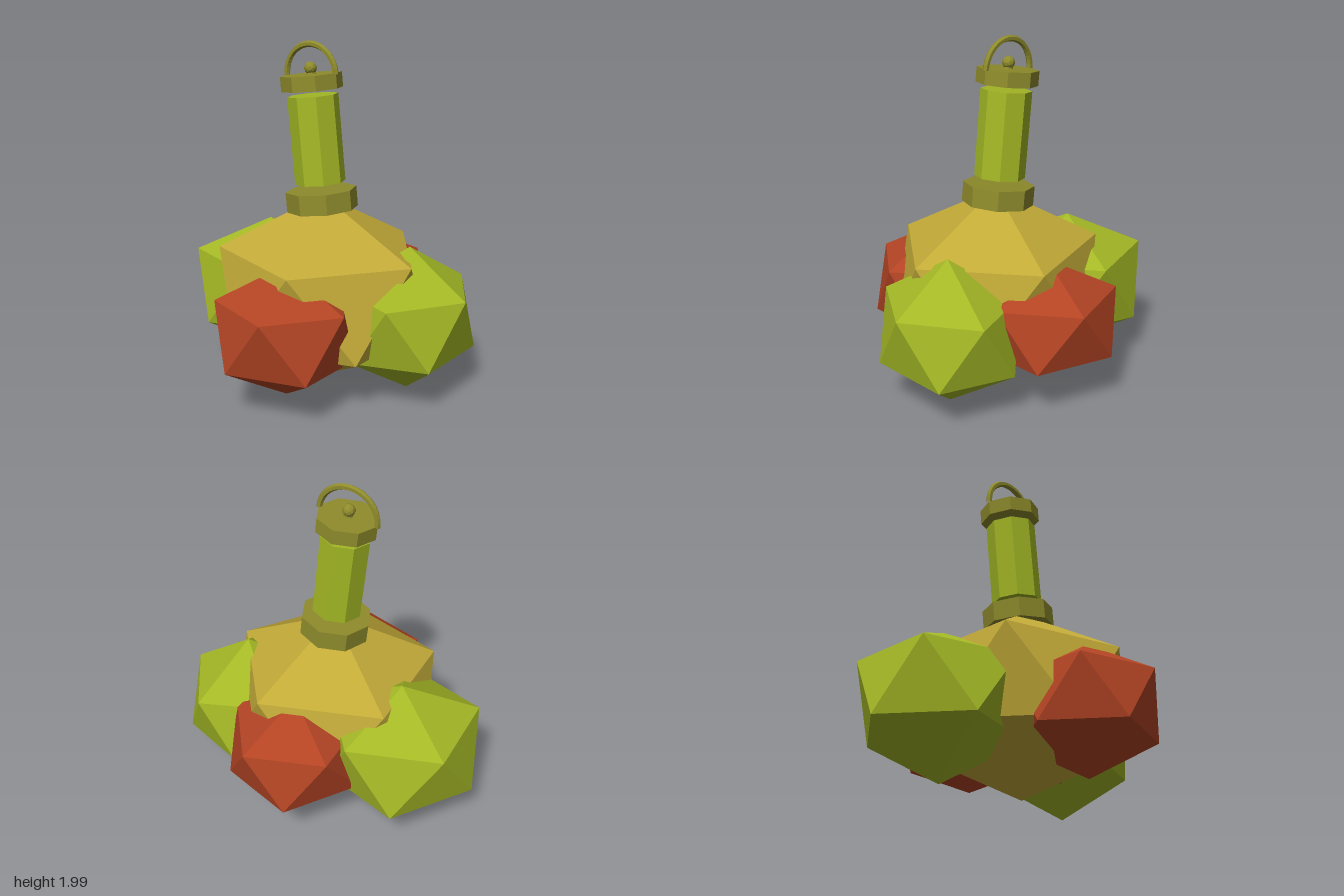
import * as THREE from 'three';
import { ConvexGeometry } from 'three/addons/geometries/ConvexGeometry.js';

const paint = (name, color) => {
  const m = new THREE.MeshStandardMaterial({ color });
  m.name = name;
  return m;
};

// Faceted normals
function facet(geometry) {
  const g = geometry.index ? geometry.toNonIndexed() : geometry;
  g.computeVertexNormals();
  return g;
}

// Twenty-sided lump with a vertex up: two staggered rings of five plus two tips
function lump([cx, cz], [rx, rz], [bottom, lower, upper, top]) {
  const pts = [new THREE.Vector3(cx, bottom, cz), new THREE.Vector3(cx, top, cz)];
  for (let i = 0; i < 5; i++) {
    const a = (i * Math.PI * 2) / 5, b = a + Math.PI / 5;
    pts.push(new THREE.Vector3(cx + rx * Math.cos(a), upper, cz + rz * Math.sin(a)));
    pts.push(new THREE.Vector3(cx + rx * Math.cos(b), lower, cz + rz * Math.sin(b)));
  }
  return new ConvexGeometry(pts);
}

export function createModel() {
  const green = paint('leaf green', 0xa4b825);
  const gold = paint('gold', 0xc2aa38);
  const red = paint('brick red', 0xb34424);
  const olive = paint('olive', 0x8f8c2c);

  const model = new THREE.Group();
  model.name = 'lumpyFlask';
  const add = (parent, name, geometry, material, x = 0, y = 0, z = 0) => {
    const mesh = new THREE.Mesh(geometry, material);
    mesh.name = name;
    mesh.position.set(x, y, z);
    parent.add(mesh);
    return mesh;
  };

  // Body and the four lumps around it
  add(model, 'body', lump([0.045, 0.01], [0.612, 0.593], [0.01, 0.32, 0.81, 1.13]), gold);
  add(model, 'leftLump', lump([0.55, -0.135], [0.37, 0.42], [0.02, 0.275, 0.63, 0.88]), green);
  add(model, 'rightLump', lump([-0.455, -0.11], [0.467, 0.45], [0.02, 0.28, 0.67, 0.88]), green);
  add(model, 'frontLump', lump([0.11, 0.43], [0.4, 0.39], [0.06, 0.28, 0.62, 0.83]), red);
  add(model, 'backLump', lump([0.065, -0.42], [0.4, 0.4], [0.14, 0.31, 0.63, 0.82]), red);

  // Small stud under the body
  add(model, 'bottomStud', facet(new THREE.IcosahedronGeometry(0.022, 1)), olive, 0.3, 0.168, 0.06);

  // Leaning handle, built along its own axis
  const handle = new THREE.Group();
  handle.name = 'handle';
  handle.position.set(0.03, 1.1, 0);
  handle.rotation.z = 0.11;
  model.add(handle);
  const octagon = (r, h) => facet(new THREE.CylinderGeometry(r, r, h, 8));
  add(handle, 'neckCollar', octagon(0.206, 0.115), olive);
  add(handle, 'grip', octagon(0.146, 0.5), green, 0, 0.35);
  add(handle, 'cap', octagon(0.176, 0.085), olive, 0, 0.675);

  // Knob on the cap
  add(handle, 'knobStem', facet(new THREE.CylinderGeometry(0.022, 0.03, 0.03, 8)), olive, 0, 0.727);
  add(handle, 'knob', facet(new THREE.IcosahedronGeometry(0.037, 1)), olive, 0, 0.752);

  // Half-ring for hanging
  add(handle, 'hangingLoop', facet(new THREE.TorusGeometry(0.174, 0.018, 6, 20, Math.PI)), olive, 0, 0.712);

  return model;
}
